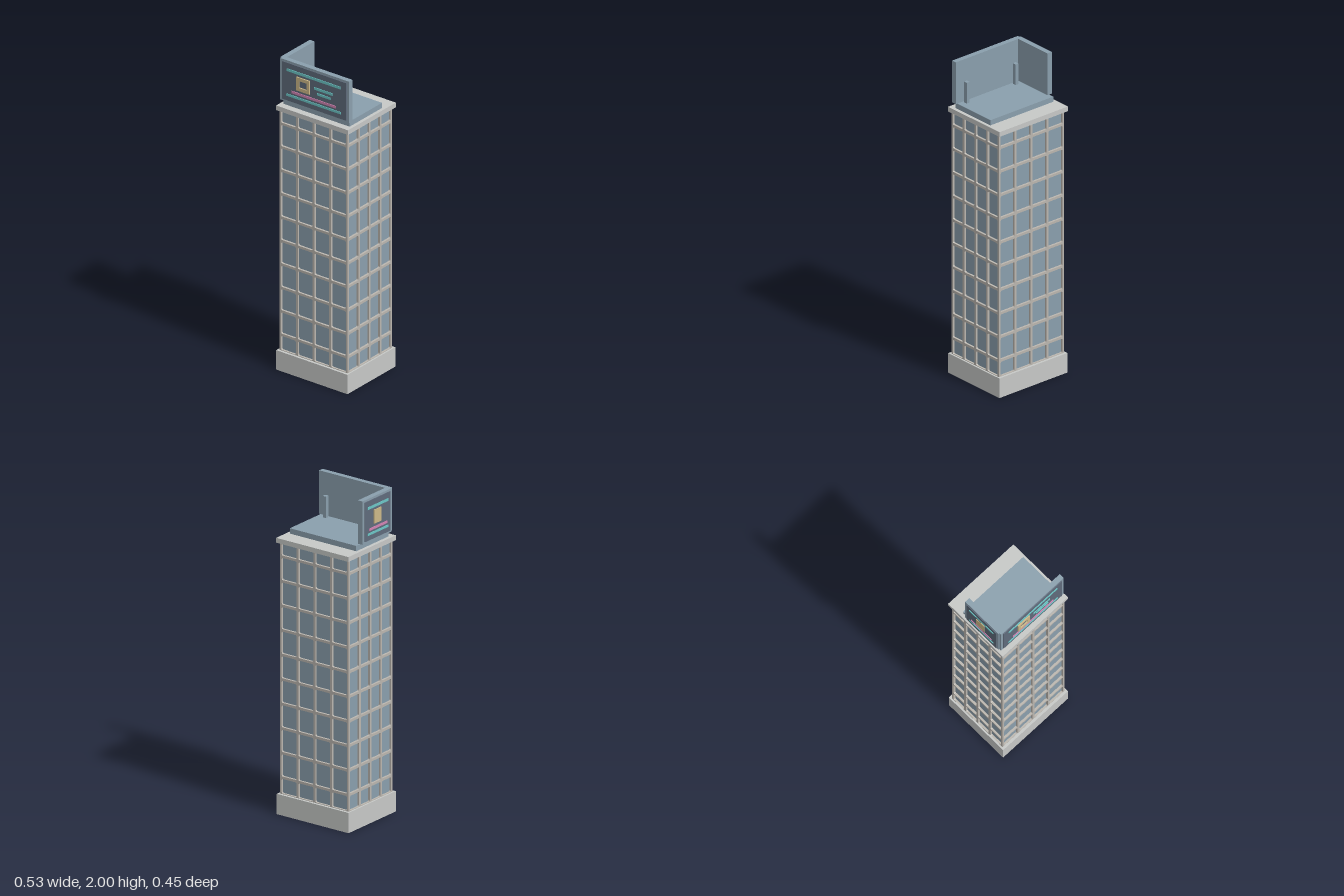
import * as THREE from 'three';

const mat = (name, color) => Object.assign(new THREE.MeshStandardMaterial({ color }), { name });

export function createModel() {
  const M = {
    stone: mat('stone', 0xc6c8c6),
    mullion: mat('mullion', 0xbbb6af),
    glass: mat('blue glass', 0x8a9fad),
    screen: mat('dark screen', 0x5f6b7b),
    cyan: mat('cyan light', 0x6cc6c6),
    pink: mat('pink light', 0xd284b4),
    gold: mat('gold light', 0xcdb888),
  };
  const model = new THREE.Group();
  model.name = 'officeTower';

  // Box given by its extents on each axis
  const box = (name, m, [x0, x1], [y0, y1], [z0, z1], parent = model) => {
    const mesh = new THREE.Mesh(new THREE.BoxGeometry(x1 - x0, y1 - y0, z1 - z0), m);
    mesh.position.set((x0 + x1) / 2, (y0 + y1) / 2, (z0 + z1) / 2);
    mesh.name = name;
    parent.add(mesh);
    return mesh;
  };

  const CX = 0.0025, BOTTOM = 0.125, TOP = 1.67, HX = 0.249, HZ = 0.209, DEPTH = 0.013;

  // Base, glass core and cornice
  box('base', M.stone, [-0.257, 0.262], [0, BOTTOM], [-0.225, 0.225]);
  box('glassCore', M.glass, [CX - HX + DEPTH, CX + HX - DEPTH], [BOTTOM, TOP], [-HZ + DEPTH, HZ - DEPTH]);
  box('cornice', M.stone, [-0.259, 0.264], [TOP, 1.7], [-0.228, 0.223]);

  // Rounded window opening
  const pane = (x0, x1, y0, y1, r = 0.008) => {
    const p = new THREE.Path();
    p.moveTo(x0 + r, y0);
    p.lineTo(x1 - r, y0); p.quadraticCurveTo(x1, y0, x1, y0 + r);
    p.lineTo(x1, y1 - r); p.quadraticCurveTo(x1, y1, x1 - r, y1);
    p.lineTo(x0 + r, y1); p.quadraticCurveTo(x0, y1, x0, y1 - r);
    p.lineTo(x0, y0 + r); p.quadraticCurveTo(x0, y0, x0 + r, y0);
    return p;
  };

  // Facade grid: one frame sheet with four columns of openings
  const rows = [BOTTOM - 0.004];
  for (let i = 0; i < 10; i++) rows.push(0.226 + i * 0.151);
  rows.push(TOP + 0.004);
  const facade = (half) => {
    const s = new THREE.Shape();
    s.moveTo(-half, BOTTOM); s.lineTo(half, BOTTOM); s.lineTo(half, TOP); s.lineTo(-half, TOP);
    s.closePath();
    const pitch = (half - 0.006) / 2, t = 0.0075;
    for (let c = -2; c < 2; c++) {
      for (let r = 0; r < rows.length - 1; r++) {
        s.holes.push(pane(c * pitch + t, (c + 1) * pitch - t, rows[r] + t, rows[r + 1] - t));
      }
    }
    return new THREE.ExtrudeGeometry(s, { depth: DEPTH, bevelEnabled: false, curveSegments: 3 });
  };
  const wide = facade(HX), narrow = facade(HZ);
  [['front', wide, HZ], ['left', narrow, HX], ['back', wide, HZ], ['right', narrow, HX]].forEach(([side, geo, out], i) => {
    const mesh = new THREE.Mesh(geo, M.mullion);
    const a = (i * Math.PI) / 2;
    mesh.rotation.y = a;
    mesh.position.set(CX + Math.sin(a) * (out - DEPTH), 0, Math.cos(a) * (out - DEPTH));
    mesh.name = side + 'WindowGrid';
    model.add(mesh);
  });

  // Roof platform, billboard panels and posts
  const PANEL_Y = [1.733, 2];
  box('roofPlatform', M.glass, [-0.237, 0.243], [1.7, 1.733], [-0.125, 0.18]);
  box('frontBillboard', M.glass, [-0.248, 0.253], PANEL_Y, [0.167, 0.199]);
  box('sideBillboard', M.glass, [-0.256, -0.223], PANEL_Y, [-0.09, 0.184]);
  for (const x of [-0.184, 0.189]) {
    box('billboardPost', M.glass, [x - 0.011, x + 0.011], [1.733, 1.865], [0.132, 0.156]);
  }

  // Front display: screen, light bars and square ring
  const front = new THREE.Group();
  front.name = 'frontDisplay';
  model.add(front);
  box('screen', M.screen, [-0.232, 0.237], [1.745, 1.987], [0.199, 0.204], front);
  const bars = [
    [M.cyan, -0.195, 0.195, 1.936, 1.952],
    [M.cyan, 0.005, 0.137, 1.877, 1.892],
    [M.cyan, 0.026, 0.122, 1.846, 1.86],
    [M.pink, -0.16, 0.164, 1.803, 1.818],
    [M.cyan, -0.197, 0.2, 1.776, 1.79],
  ];
  for (const [m, x0, x1, y0, y1] of bars) {
    box('lightBar', m, [x0, x1], [y0, y1], [0.204, 0.208], front);
  }
  const ring = new THREE.Shape([[-0.122, 1.835], [-0.027, 1.835], [-0.027, 1.921], [-0.122, 1.921]]
    .map(([x, y]) => new THREE.Vector2(x, y)));
  ring.holes.push(new THREE.Path([[-0.102, 1.856], [-0.102, 1.9], [-0.047, 1.9], [-0.047, 1.856]]
    .map(([x, y]) => new THREE.Vector2(x, y))));
  const ringMesh = new THREE.Mesh(new THREE.ExtrudeGeometry(ring, { depth: 0.008, bevelEnabled: false }), M.gold);
  ringMesh.position.z = 0.204;
  ringMesh.name = 'squareRing';
  front.add(ringMesh);

  // Side display on the -x panel
  const side = new THREE.Group();
  side.name = 'sideDisplay';
  model.add(side);
  box('screen', M.screen, [-0.261, -0.256], [1.745, 1.987], [-0.072, 0.17], side);
  const sideBars = [
    [M.cyan, -0.05, 0.148, 1.936, 1.952],
    [M.pink, -0.035, 0.135, 1.803, 1.818],
    [M.cyan, -0.05, 0.148, 1.776, 1.79],
  ];
  for (const [m, z0, z1, y0, y1] of sideBars) {
    box('lightBar', m, [-0.264, -0.261], [y0, y1], [z0, z1], side);
  }
  box('squareLight', M.gold, [-0.265, -0.261], [1.835, 1.921], [0.01, 0.077], side);

  return model;
}
